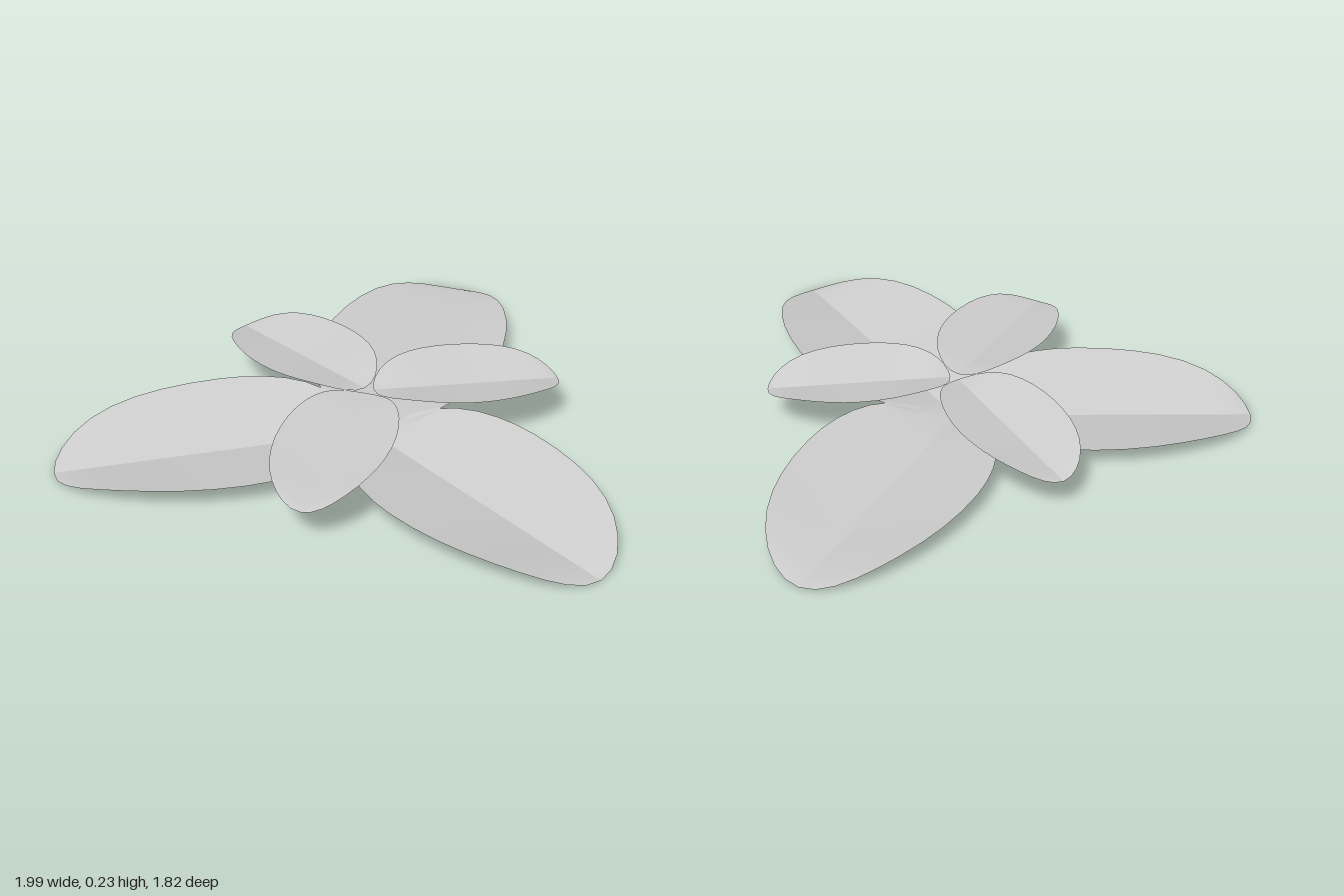
import * as THREE from 'three';

const STEPS = 18;

// One half of a petal: a strip from the central fold out to the raised rim.
// The fold runs along +z; side is +1 or -1.
function petalHalf(p, side) {
  const pos = [], idx = [];
  for (let i = 0; i <= STEPS; i++) {
    const u = -Math.cos((i / STEPS) * Math.PI);
    const z = p.mid + u * (u < 0 ? p.mid - p.base : p.tip - p.mid);
    const w = p.width * Math.sqrt(Math.max(0, 1 - u * u));
    const t = (z - p.base) / (p.tip - p.base);
    const y = p.yBase + (p.yTip - p.yBase) * t;
    const rim = y + p.rise * (1 - Math.pow(Math.abs(u), p.power));
    pos.push(0, y, z, side * w, rim, z);
    if (i < STEPS) {
      const a = 2 * i, b = a + 1, c = a + 2, d = a + 3;
      if (side > 0) idx.push(a, c, b, b, c, d);
      else idx.push(a, b, c, b, d, c);
    }
  }
  const g = new THREE.BufferGeometry();
  g.setAttribute('position', new THREE.Float32BufferAttribute(pos, 3));
  g.setIndex(idx);
  g.computeVertexNormals();
  return g;
}

// Three folded petals spread evenly round the centre.
function whorl(name, p, startAngle, material) {
  const group = new THREE.Group();
  group.name = name;
  for (let k = 0; k < 3; k++) {
    const petal = new THREE.Group();
    petal.name = name + 'Petal' + (k + 1);
    for (const side of [1, -1]) {
      const half = new THREE.Mesh(petalHalf(p, side), material);
      half.name = side > 0 ? 'petalLeftHalf' : 'petalRightHalf';
      petal.add(half);
    }
    petal.rotation.y = startAngle + (k * 2 * Math.PI) / 3;
    group.add(petal);
  }
  return group;
}

export function createModel() {
  const petalGrey = new THREE.MeshStandardMaterial({ color: 0xcccccc, side: THREE.DoubleSide });
  petalGrey.name = 'petalGrey';

  const flower = new THREE.Group();
  flower.name = 'flower';

  // Wide lower petals
  const outer = { base: 0.01, mid: 0.49, tip: 1.12, width: 0.345, yBase: 0.016, yTip: 0, rise: 0.082, power: 5 };
  // Small upper petals, drooping towards their tips
  const inner = { base: 0.02, mid: 0.35, tip: 0.7, width: 0.2, yBase: 0.19, yTip: 0.15, rise: 0.047, power: 5 };

  flower.add(whorl('outer', outer, Math.PI / 3, petalGrey));
  flower.add(whorl('inner', inner, 0, petalGrey));
  flower.position.z = 0.21;

  const model = new THREE.Group();
  model.name = 'flowerModel';
  model.add(flower);
  return model;
}
